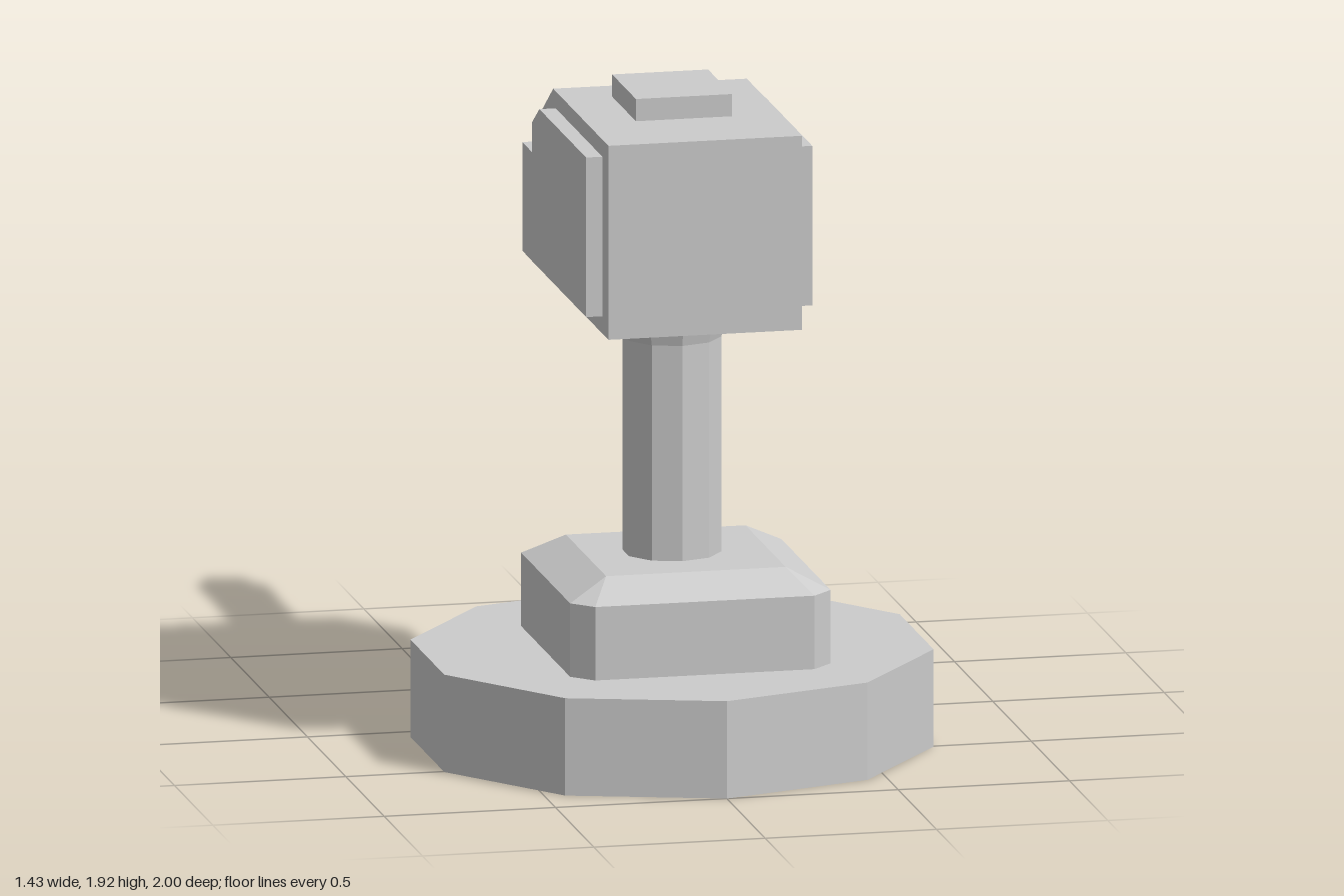
import * as THREE from 'three';
import { ConvexGeometry } from 'three/addons/geometries/ConvexGeometry.js';

const flat = new THREE.MeshStandardMaterial({ color: 0xcccccc, flatShading: true });
const smooth = new THREE.MeshStandardMaterial({ color: 0xcccccc });
const AXIS_Z = 0.285; // z of the stand's upright axis

export function createModel() {
  const model = new THREE.Group();

  const add = (name, geometry, material = flat) => {
    const mesh = new THREE.Mesh(geometry, material);
    mesh.name = name;
    model.add(mesh);
    return mesh;
  };

  // Ten-sided prism on the stand's axis, slightly wider in x than in z
  const decagon = (name, rBottom, rTop, y0, y1, stretch) => {
    const g = new THREE.CylinderGeometry(rTop, rBottom, y1 - y0, 10);
    g.scale(stretch, 1, 1).translate(0, (y0 + y1) / 2, AXIS_Z);
    return add(name, g);
  };

  // Side profile given as [z, y], extruded across x
  const sideExtrude = (name, profile, width, x) => {
    const shape = new THREE.Shape(profile.map(([z, y]) => new THREE.Vector2(z, y)));
    const g = new THREE.ExtrudeGeometry(shape, { depth: width, bevelEnabled: false });
    g.translate(0, 0, -width / 2).rotateY(-Math.PI / 2).translate(x, 0, 0);
    return add(name, g);
  };

  // Round bar pointing backwards
  const bar = (name, radius, z0, z1) => {
    const g = new THREE.CylinderGeometry(radius, radius, z0 - z1, 32);
    g.rotateX(Math.PI / 2).translate(0.005, 1.47, (z0 + z1) / 2);
    return add(name, g, smooth);
  };

  // Base
  decagon('base', 0.715, 0.715, 0, 0.285, 1.05);

  // Plinth: square block with cut corners and a bevelled top
  const points = [];
  for (const sx of [-1, 1]) {
    for (const sz of [-1, 1]) {
      const corner = (hx, y, hz) => points.push(new THREE.Vector3(0.01 + sx * hx, y, 0.29 + sz * hz));
      for (const y of [0.285, 0.5]) {
        corner(0.38, y, 0.32);
        corner(0.32, y, 0.38);
      }
      corner(0.262, 0.56, 0.262);
    }
  }
  add('plinth', new ConvexGeometry(points));

  // Column with a flared collar
  decagon('column', 0.135, 0.135, 0.55, 1.19, 1.05);
  decagon('collar', 0.135, 0.16, 1.19, 1.292, 1.05);

  // Head with a sloped rear edge and a lower rear step
  sideExtrude('head', [
    [0.718, 1.292], [-0.405, 1.292], [-0.405, 1.61], [-0.14, 1.61],
    [-0.14, 1.77], [-0.002, 1.86], [0.718, 1.86],
  ], 0.565, 0);

  // Side panels
  for (const [name, side] of [['leftPanel', 1], ['rightPanel', -1]]) {
    sideExtrude(name, [
      [0.64, 1.343], [-0.065, 1.343], [-0.065, 1.75], [0.03, 1.81], [0.64, 1.81],
    ], 0.05, side * 0.305);
  }

  // Top plate
  const plate = add('topPlate', new THREE.BoxGeometry(0.28, 0.075, 0.31));
  plate.position.set(0, 1.8875, 0.285);

  // Barrel and tip
  bar('barrel', 0.085, -0.38, -0.935);
  bar('barrelTip', 0.055, -0.92, -1);

  return model;
}
